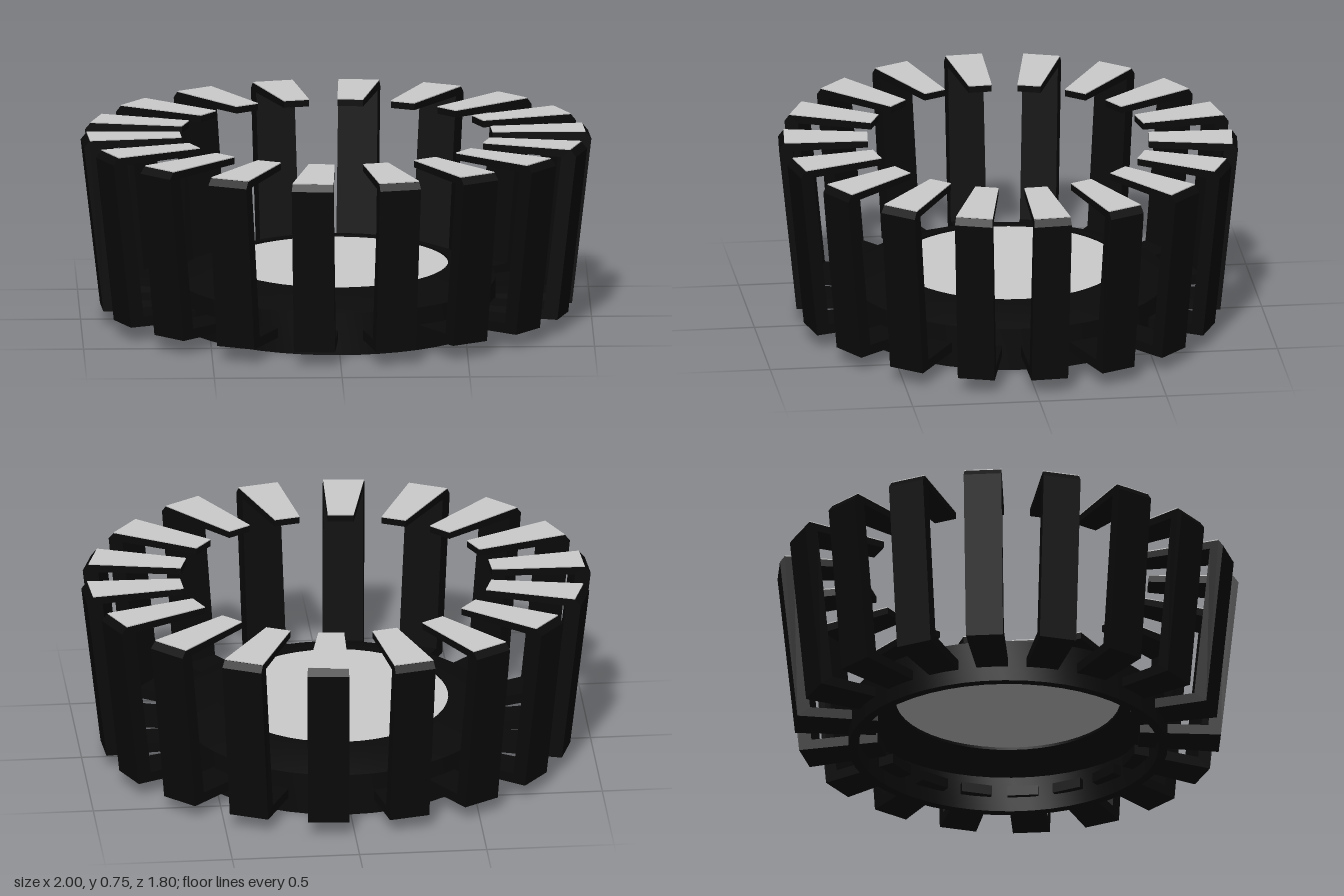
import * as THREE from 'three';
import { toCreasedNormals } from 'three/addons/utils/BufferGeometryUtils.js';

const RIBS = 18;
const lerp = THREE.MathUtils.lerp;

// Extrudes a (radius, height) outline and tapers its width towards the centre
function taperedExtrude(points, widthAt) {
  const shape = new THREE.Shape(points.map(([r, y]) => new THREE.Vector2(r, y)));
  const geo = new THREE.ExtrudeGeometry(shape, { depth: 1, bevelEnabled: false });
  const pos = geo.attributes.position;
  for (let i = 0; i < pos.count; i++) {
    pos.setZ(i, (pos.getZ(i) - 0.5) * widthAt(pos.getX(i), pos.getY(i)));
  }
  geo.computeVertexNormals();
  return geo;
}

// Upper arms narrow more than lower arms
function ribWidth(r, y) {
  const t = (r - 0.6) / 0.38;
  return y > 0.4 ? lerp(0.1, 0.162, t) : lerp(0.135, 0.162, Math.min(1, t * 1.2));
}

export function createModel() {
  const model = new THREE.Group();
  const black = new THREE.MeshStandardMaterial({ color: 0x0a0a0a });
  const grey = new THREE.MeshStandardMaterial({ color: 0xcccccc });

  // Hollow base ring: upright wall with a sloping roof around the disc
  const profile = [
    [0.59, 0], [0.625, 0], [0.625, 0.17], [0.47, 0.228], [0.44, 0.228],
    [0.44, 0.195], [0.47, 0.195], [0.59, 0.145], [0.59, 0],
  ].map(([r, y]) => new THREE.Vector2(r, y));
  const ring = new THREE.Mesh(toCreasedNormals(new THREE.LatheGeometry(profile, 48), 0.5), black);
  ring.name = 'baseRing';
  model.add(ring);

  // Centre disc
  const disc = new THREE.Mesh(new THREE.CylinderGeometry(0.442, 0.442, 0.015, 40), grey);
  disc.name = 'centreDisc';
  disc.position.y = 0.213;
  model.add(disc);

  // C-shaped ribs: lower arm, leaning outer wall, upper arm with a chamfered corner
  const ribGeo = taperedExtrude([
    [0.57, 0.06], [0.92, 0.06], [0.996, 0.72], [0.975, 0.746], [0.61, 0.746],
    [0.61, 0.72], [0.935, 0.715], [0.865, 0.1], [0.57, 0.1],
  ], ribWidth);
  const capGeo = taperedExtrude([[0.61, 0.746], [0.973, 0.746], [0.973, 0.75], [0.61, 0.75]], ribWidth);

  // Ribs stand on an ellipse
  const crown = new THREE.Group();
  crown.name = 'ribCrown';
  crown.scale.z = 0.9;
  for (let i = 0; i < RIBS; i++) {
    const rib = new THREE.Group();
    rib.name = 'rib';
    const body = new THREE.Mesh(ribGeo, black);
    body.name = 'ribBody';
    const cap = new THREE.Mesh(capGeo, grey);
    cap.name = 'ribCap';
    rib.add(body, cap);
    rib.rotation.y = THREE.MathUtils.degToRad(3.5) + (i / RIBS) * Math.PI * 2;
    crown.add(rib);
  }
  model.add(crown);
  return model;
}
